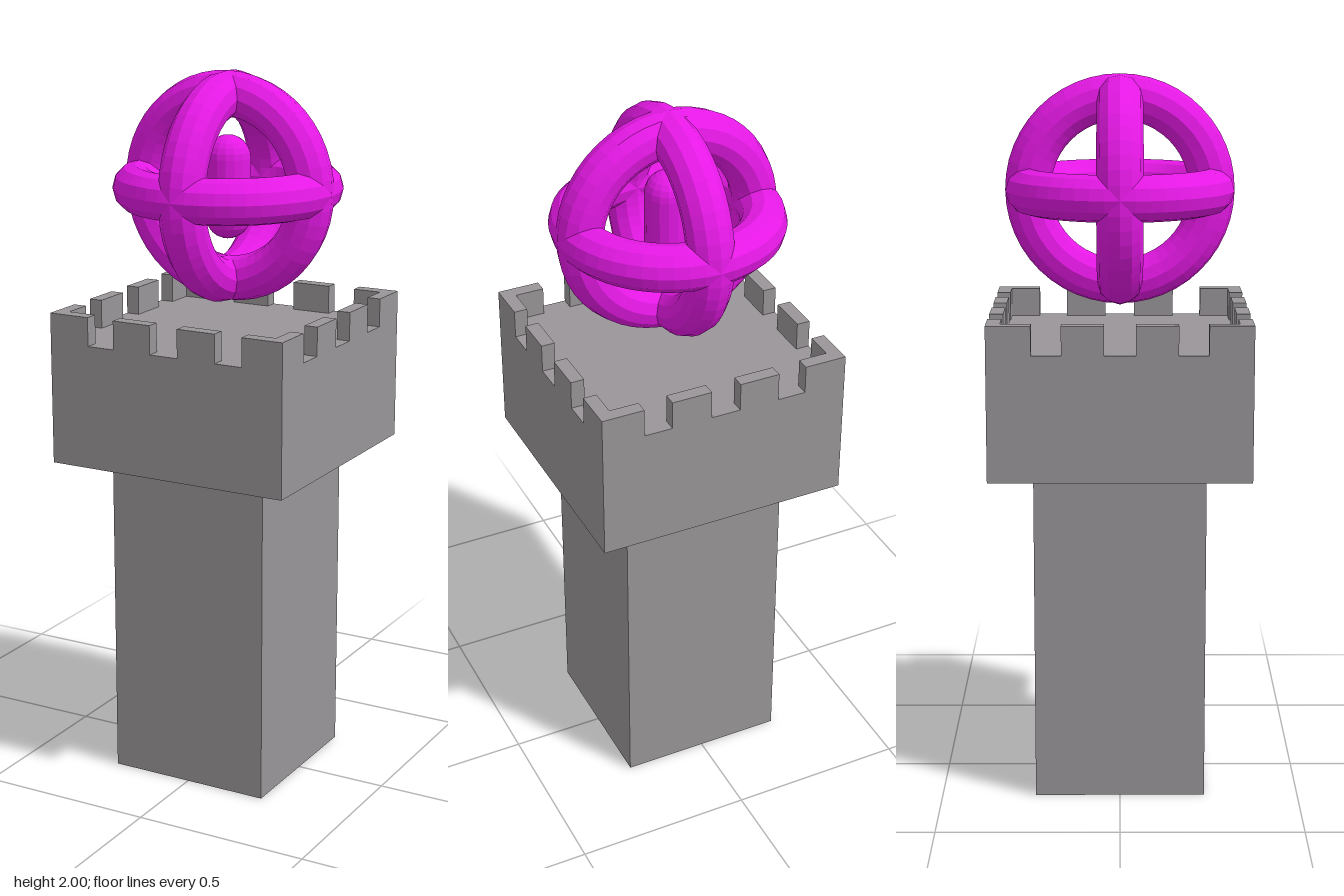
import * as THREE from 'three';

const stone = new THREE.MeshStandardMaterial({ color: 0x999598, flatShading: true });
const magenta = new THREE.MeshStandardMaterial({ color: 0xe619e6, flatShading: true });

const HALF = 0.356;      // half width of the battlement block
const DECK = 1.28;       // height of the deck
const MERLON_H = 0.08;
const WALL = 0.038;      // merlon thickness

function add(parent, name, geometry, material, x = 0, y = 0, z = 0) {
  const mesh = new THREE.Mesh(geometry, material);
  mesh.name = name;
  mesh.position.set(x, y, z);
  parent.add(mesh);
  return mesh;
}

// L-shaped corner merlon, its outer corner at (HALF, HALF)
function cornerGeometry() {
  const inner = 0.236, wall = HALF - WALL;
  const shape = new THREE.Shape([
    [inner, wall], [wall, wall], [wall, inner], [HALF, inner], [HALF, HALF], [inner, HALF],
  ].map(([x, y]) => new THREE.Vector2(x, y)));
  const geometry = new THREE.ExtrudeGeometry(shape, { depth: MERLON_H, bevelEnabled: false });
  return geometry.rotateX(-Math.PI / 2);
}

export function createModel() {
  const model = new THREE.Group();
  model.name = 'tower';

  // Square shaft and wider top block
  add(model, 'shaft', new THREE.BoxGeometry(0.474, 0.935, 0.474), stone, 0, 0.4675, 0);
  add(model, 'battlementBlock', new THREE.BoxGeometry(2 * HALF, DECK - 0.935, 2 * HALF), stone,
    0, (DECK + 0.935) / 2, 0);

  // Merlons: one corner and two middle ones per side
  const merlons = new THREE.Group();
  merlons.name = 'merlons';
  model.add(merlons);
  const corner = cornerGeometry();
  const middle = new THREE.BoxGeometry(0.114, MERLON_H, WALL);
  for (let i = 0; i < 4; i++) {
    const side = new THREE.Group();
    side.name = 'merlonSide';
    side.rotation.y = i * Math.PI / 2;
    add(side, 'cornerMerlon', corner, stone, 0, DECK, 0);
    for (const s of [-1, 1]) {
      add(side, 'middleMerlon', middle, stone, s * 0.099, DECK + MERLON_H / 2, HALF - WALL / 2);
    }
    merlons.add(side);
  }

  // Floating orb of three crossing rings around an upright core
  const orb = new THREE.Group();
  orb.name = 'ringOrb';
  orb.position.y = 1.683;
  model.add(orb);
  const ring = new THREE.TorusGeometry(0.254, 0.063, 12, 48);
  add(orb, 'frontRing', ring, magenta);
  add(orb, 'sideRing', ring, magenta).rotation.y = Math.PI / 2;
  add(orb, 'levelRing', ring, magenta).rotation.x = Math.PI / 2;
  add(orb, 'core', new THREE.CapsuleGeometry(0.063, 0.16, 6, 16), magenta);

  return model;
}
